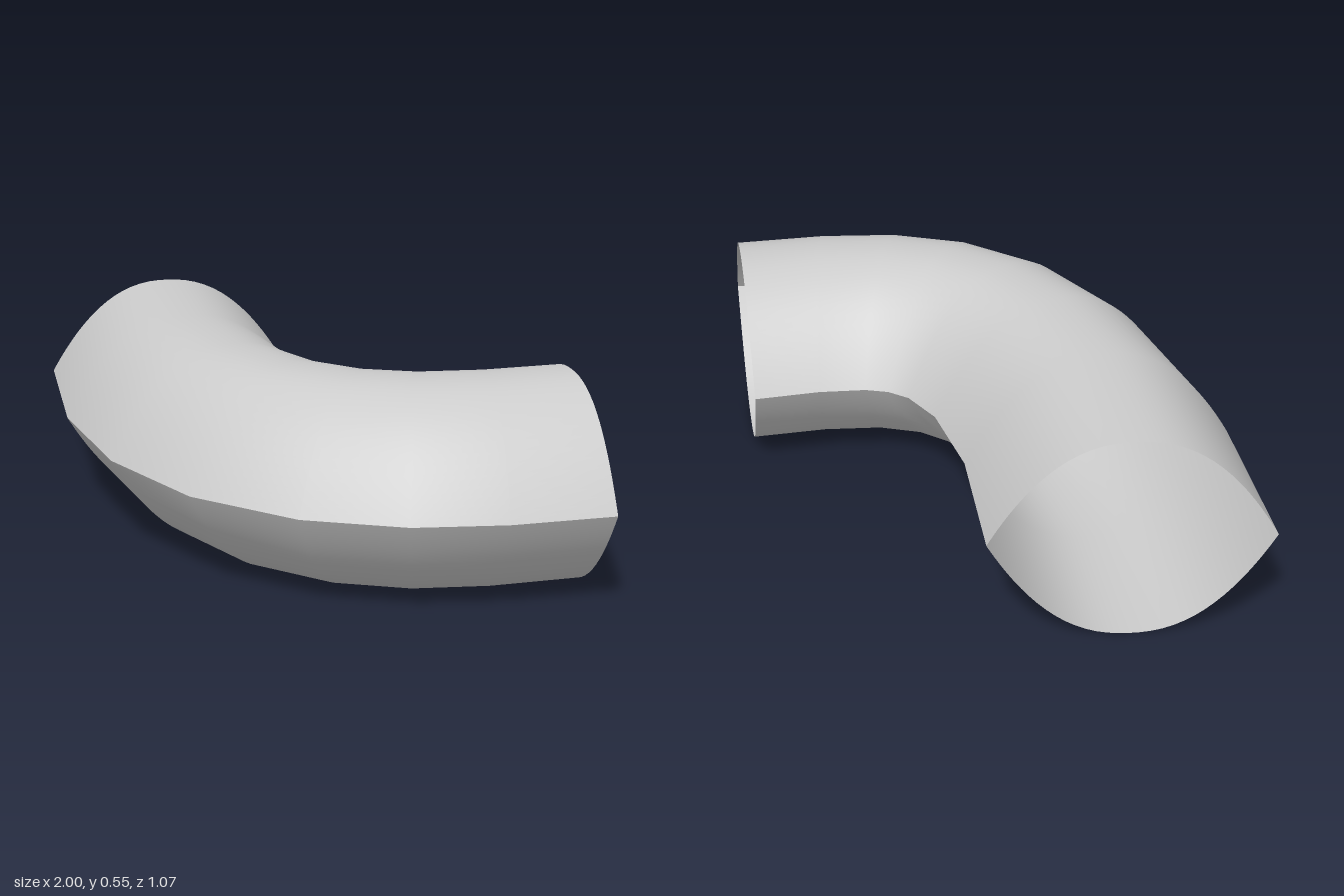
import * as THREE from 'three';

// Each ring of the bend in plan: outer x, z, inner x, z
const RINGS = [
  [-1, 0, -0.537, -0.537],
  [-0.6, 0.297, -0.227, -0.307],
  [-0.227, 0.473, 0, -0.195],
  [0.126, 0.532, 0.126, -0.174],
  [0.441, 0.473, 0.19, -0.19],
  [0.676, 0.334, 0.243, -0.227],
  [0.842, 0.158, 0.323, -0.324],
  [0.998, -0.067, 0.415, -0.473],
];
const HALF_HEIGHT = 0.274;
const STEPS = 40;

// Half of the lens-shaped pipe wall: side = 1 for the upper, -1 for the lower
function halfShell(side) {
  const positions = [];
  const indices = [];
  for (const [ox, oz, ix, iz] of RINGS) {
    for (let j = 0; j <= STEPS; j++) {
      const t = -Math.cos((j / STEPS) * Math.PI); // -1 outer edge, 1 inner edge
      const k = (t + 1) / 2;
      const h = HALF_HEIGHT * (1 - Math.abs(t) ** 2.3);
      positions.push(ox + (ix - ox) * k, HALF_HEIGHT + side * h, oz + (iz - oz) * k);
    }
  }
  const row = STEPS + 1;
  for (let i = 0; i < RINGS.length - 1; i++) {
    for (let j = 0; j < STEPS; j++) {
      const a = i * row + j, b = a + row, c = b + 1, d = a + 1;
      if (side > 0) indices.push(a, b, c, a, c, d);
      else indices.push(a, c, b, a, d, c);
    }
  }
  const geometry = new THREE.BufferGeometry();
  geometry.setAttribute('position', new THREE.Float32BufferAttribute(positions, 3));
  geometry.setIndex(indices);
  geometry.computeVertexNormals();
  return geometry;
}

export function createModel() {
  const group = new THREE.Group();
  group.name = 'bentPipe';
  const material = new THREE.MeshStandardMaterial({ color: 0xcccccc, side: THREE.DoubleSide });

  // Separate halves keep the side edges sharp
  for (const [name, side] of [['upperWall', 1], ['lowerWall', -1]]) {
    const wall = new THREE.Mesh(halfShell(side), material);
    wall.name = name;
    group.add(wall);
  }
  return group;
}
